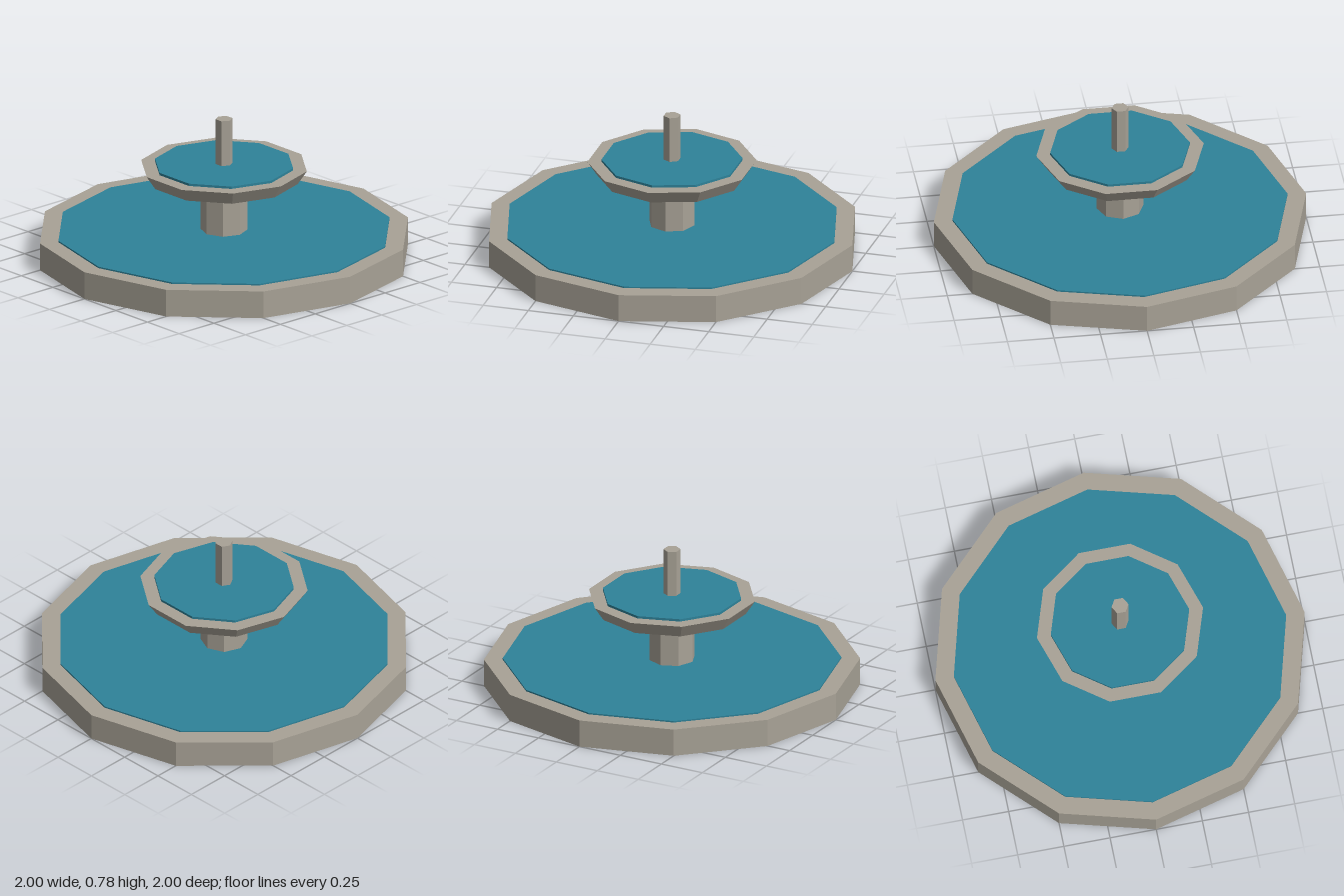
import * as THREE from 'three';

export function createModel() {
  const model = new THREE.Group();
  model.name = 'fountain';

  const stone = new THREE.MeshStandardMaterial({ color: 0xa8a296, flatShading: true });
  stone.name = 'stone';
  const water = new THREE.MeshStandardMaterial({ color: 0x2e8299, flatShading: true });
  water.name = 'water';

  // Upright prism between two heights, with a corner on the x axis
  function prism(name, material, sides, bottomRadius, topRadius, y0, y1) {
    const geometry = new THREE.CylinderGeometry(topRadius, bottomRadius, y1 - y0, sides);
    geometry.rotateY(Math.PI / 2);
    geometry.translate(0, (y0 + y1) / 2, 0);
    const mesh = new THREE.Mesh(geometry, material);
    mesh.name = name;
    model.add(mesh);
  }

  // Lower basin and its water
  prism('basin', stone, 12, 1, 1, 0, 0.15);
  prism('basinWater', water, 12, 0.9, 0.9, 0.149, 0.158);

  // Column carrying the flared upper bowl
  prism('column', stone, 8, 0.125, 0.125, 0.15, 0.46);
  prism('bowl', stone, 10, 0.4, 0.45, 0.44, 0.515);
  prism('bowlWater', water, 10, 0.375, 0.375, 0.514, 0.528);

  // Spout on top
  prism('spout', stone, 6, 0.046, 0.046, 0.515, 0.78);

  return model;
}
